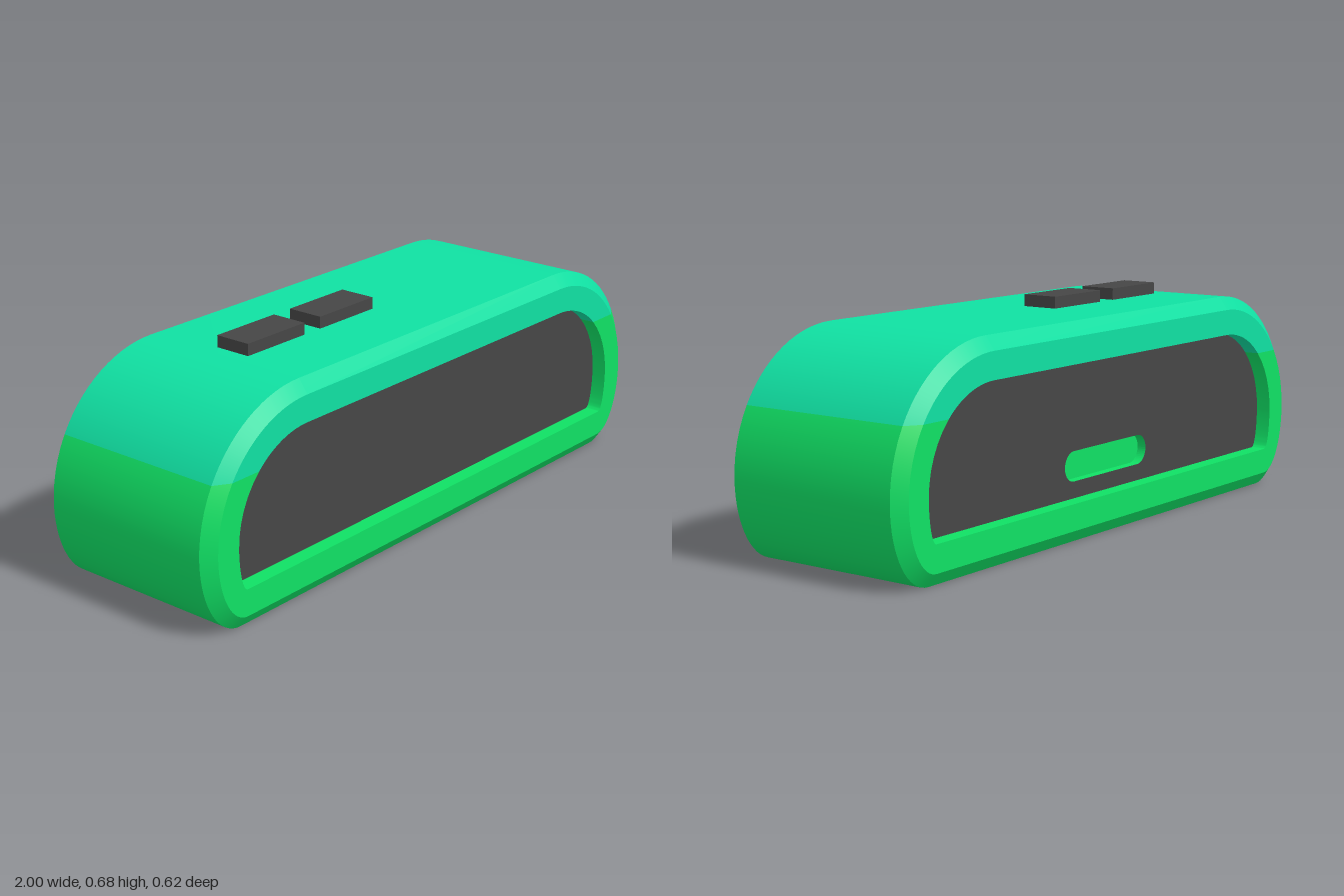
import * as THREE from 'three';
import { toCreasedNormals } from 'three/addons/utils/BufferGeometryUtils.js';

const SPLIT = 0.445;  // height where the shell changes colour
const MID = 0.245;    // widest height of the outline
const ARC = 14, LOW = 16;

// Shell outline offset inwards, anticlockwise from the right colour split.
// The first 2 * ARC segments lie above the split.
function outline(inset) {
  const r = 0.4 - inset;
  const a0 = Math.asin((SPLIT - MID) / r);
  const upper = [], lower = [];
  for (let i = 0; i <= ARC; i++) {
    const a = a0 + (Math.PI / 2 - a0) * i / ARC;
    upper.push([0.6 + r * Math.cos(a), MID + r * Math.sin(a)]);
  }
  for (let i = 1; i <= 6; i++) {
    const a = a0 * (1 - i / 6);
    lower.push([0.6 + r * Math.cos(a), MID + r * Math.sin(a)]);
  }
  for (let i = 1; i <= LOW; i++) {
    const a = (Math.PI / 2) * i / LOW;
    lower.push([0.85 + (0.15 - inset) * Math.cos(a), MID - (MID - inset) * Math.sin(a)]);
  }
  const mirror = (list) => list.map(([x, y]) => [-x, y]);
  return [...upper, ...mirror(upper).reverse(), ...mirror(lower), ...lower.slice().reverse()];
}

// Lofted shell: recess wall, flat rim, bevel, outer skin, and the same at the back
function shellGeometry() {
  const sections = [
    [0.12, 0.26], [0.12, 0.31], [0.04, 0.31], [0, 0.28],
    [0, -0.28], [0.04, -0.31], [0.12, -0.31], [0.12, -0.26],
  ];
  const loops = sections.map(([inset]) => outline(inset));
  const n = loops[0].length;
  const positions = [], index = [];
  loops.forEach((loop, s) => loop.forEach(([x, y]) => positions.push(x, y, sections[s][1])));
  const strip = (from, to) => {
    for (let s = 0; s < sections.length - 1; s++) {
      for (let j = from; j < to; j++) {
        const a = s * n + j, b = s * n + (j + 1) % n;
        index.push(a, a + n, b, b, a + n, b + n);
      }
    }
  };
  const split = 2 * ARC + 1;
  strip(0, split);
  const upperCount = index.length;
  strip(split, n);
  const g = new THREE.BufferGeometry();
  g.setAttribute('position', new THREE.Float32BufferAttribute(positions, 3));
  g.setIndex(index);
  g.addGroup(0, upperCount, 0);
  g.addGroup(upperCount, index.length - upperCount, 1);
  return toCreasedNormals(g, 0.5);
}

// Horizontal slot with round ends
function pill(target, y, halfLength, r) {
  target.absarc(halfLength - r, y, r, -Math.PI / 2, Math.PI / 2, false);
  target.absarc(-halfLength + r, y, r, Math.PI / 2, Math.PI * 1.5, false);
  target.closePath();
  return target;
}

export function createModel() {
  const model = new THREE.Group();
  const material = (name, color) => {
    const m = new THREE.MeshStandardMaterial({ color });
    m.name = name;
    return m;
  };
  const teal = material('teal', 0x10e0a2);
  const green = material('green', 0x10e064);
  const dark = material('charcoal', 0x464646);
  const add = (name, geometry, mat, x = 0, y = 0, z = 0) => {
    const mesh = new THREE.Mesh(geometry, mat);
    mesh.name = name;
    mesh.position.set(x, y, z);
    model.add(mesh);
    return mesh;
  };

  add('shell', shellGeometry(), [teal, green]);

  // Recessed panels, the rear one with a slot
  const panelShape = () => new THREE.Shape(outline(0.12).map(([x, y]) => new THREE.Vector2(x, y)));
  add('frontPanel', new THREE.ShapeGeometry(panelShape()), dark, 0, 0, 0.262);
  const rear = panelShape();
  rear.holes.push(pill(new THREE.Path(), 0.215, 0.21, 0.045));
  const rearGeometry = new THREE.ExtrudeGeometry(rear, { depth: 0.03, bevelEnabled: false, curveSegments: 12 });
  add('rearPanel', rearGeometry, [dark, green], 0, 0, -0.262);
  const slotFloor = new THREE.ShapeGeometry(pill(new THREE.Shape(), 0.215, 0.22, 0.055), 12);
  add('rearSlotFloor', slotFloor, green, 0, 0, -0.233).rotation.y = Math.PI;

  // Two buttons on the top
  for (const [i, x] of [-0.443, -0.138].entries()) {
    add('topButton' + (i + 1), new THREE.BoxGeometry(0.236, 0.045, 0.116), dark, x, 0.6585, 0);
  }
  return model;
}
